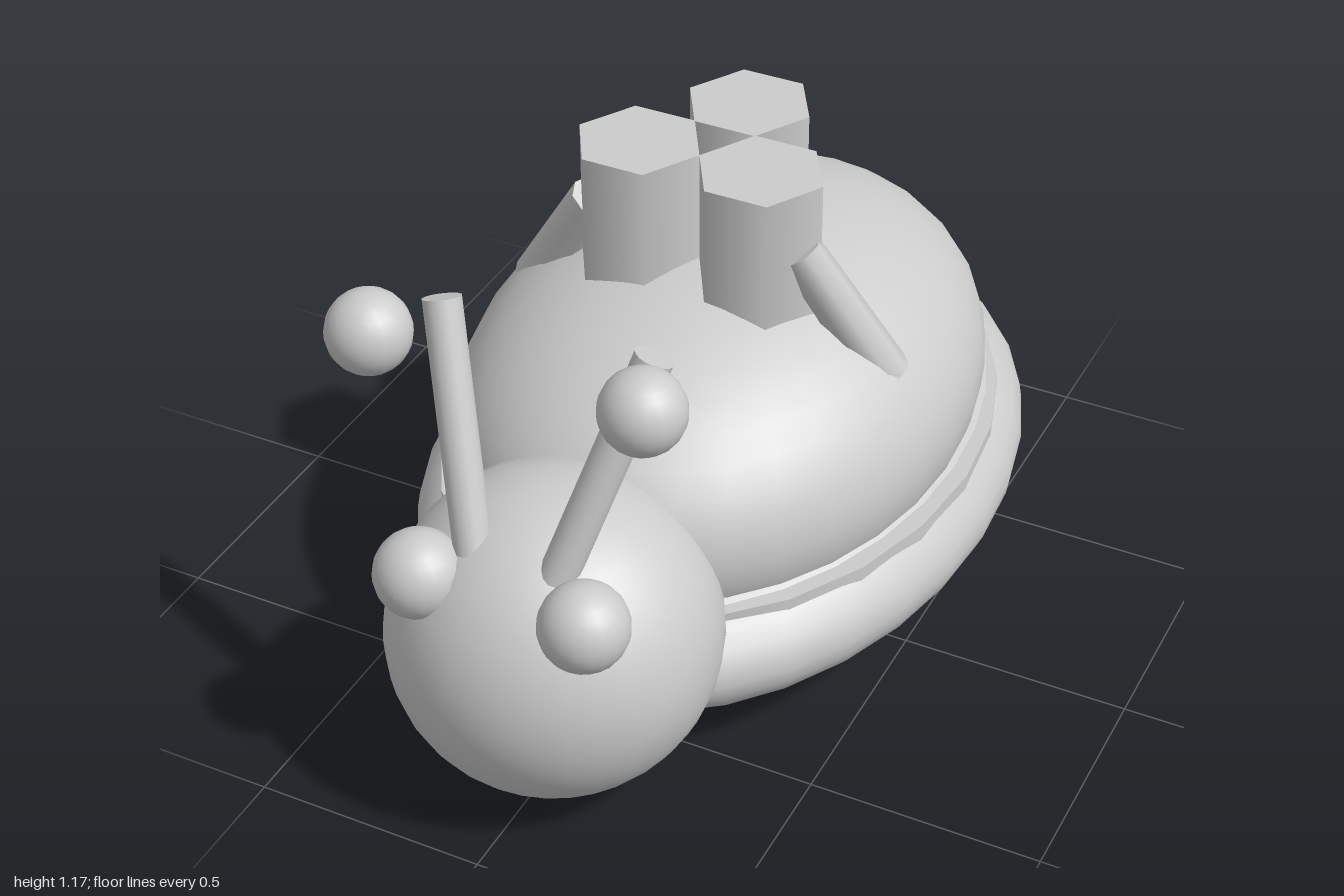
import * as THREE from 'three';

export function createModel() {
  const model = new THREE.Group();
  model.name = 'snail';
  const clay = new THREE.MeshStandardMaterial({ color: 0xcccccc });
  clay.name = 'clay grey';

  const add = (name, geometry, x, y, z) => {
    const mesh = new THREE.Mesh(geometry, clay);
    mesh.name = name;
    mesh.position.set(x, y, z);
    model.add(mesh);
    return mesh;
  };

  const ellipsoid = (name, [x, y, z], [rx, ry, rz], sides = 32) => {
    const geometry = new THREE.SphereGeometry(1, sides, sides * 0.75);
    geometry.scale(rx, ry, rz);
    return add(name, geometry, x, y, z);
  };

  // Round rod between two points, with a radius at each end
  const rod = (name, from, to, rFrom, rTo, sides) => {
    const a = new THREE.Vector3(...from);
    const b = new THREE.Vector3(...to);
    const axis = b.clone().sub(a);
    const mid = a.clone().add(b).multiplyScalar(0.5);
    const geometry = new THREE.CylinderGeometry(rTo, rFrom, axis.length(), sides);
    const mesh = add(name, geometry, mid.x, mid.y, mid.z);
    mesh.quaternion.setFromUnitVectors(new THREE.Vector3(0, 1, 0), axis.normalize());
    return mesh;
  };

  // Body, shell and head
  ellipsoid('body', [0, 0.263, -0.14], [0.615, 0.26, 0.86]);
  ellipsoid('shell', [0, 0.48, -0.12], [0.537, 0.38, 0.725]);
  ellipsoid('head', [0, 0.36, 0.655], [0.343, 0.343, 0.343]);

  // Flat rim showing along the seam under the shell
  const rim = new THREE.CylinderGeometry(1, 1, 0.12, 24);
  rim.scale(0.57, 1, 0.75);
  add('shellRim', rim, 0, 0.332, -0.12);

  // Three hexagonal chimneys on top of the shell
  for (const [x, z] of [[-0.137, 0], [0.137, 0], [0, -0.235]]) {
    const hex = new THREE.CylinderGeometry(0.137, 0.137, 0.32, 6);
    hex.rotateY(Math.PI / 6);
    add('hexChimney', hex, x, 0.94, z);
  }

  // Mirrored parts
  for (const s of [1, -1]) {
    const side = s > 0 ? 'left' : 'right';
    ellipsoid(side + 'Eye', [s * 0.18, 0.582, 0.86], [0.091, 0.091, 0.091], 20);
    rod(side + 'Antenna', [s * 0.07, 0.55, 0.825], [s * 0.225, 1.08, 0.645], 0.039, 0.039, 16);
    ellipsoid(side + 'AntennaTip', [s * 0.285, 1.086, 0.81], [0.084, 0.084, 0.084], 20);
    rod(side + 'Strut', [s * 0.41, 0.66, -0.04], [s * 0.235, 0.95, 0.02], 0.055, 0.047, 8);
  }

  return model;
}
